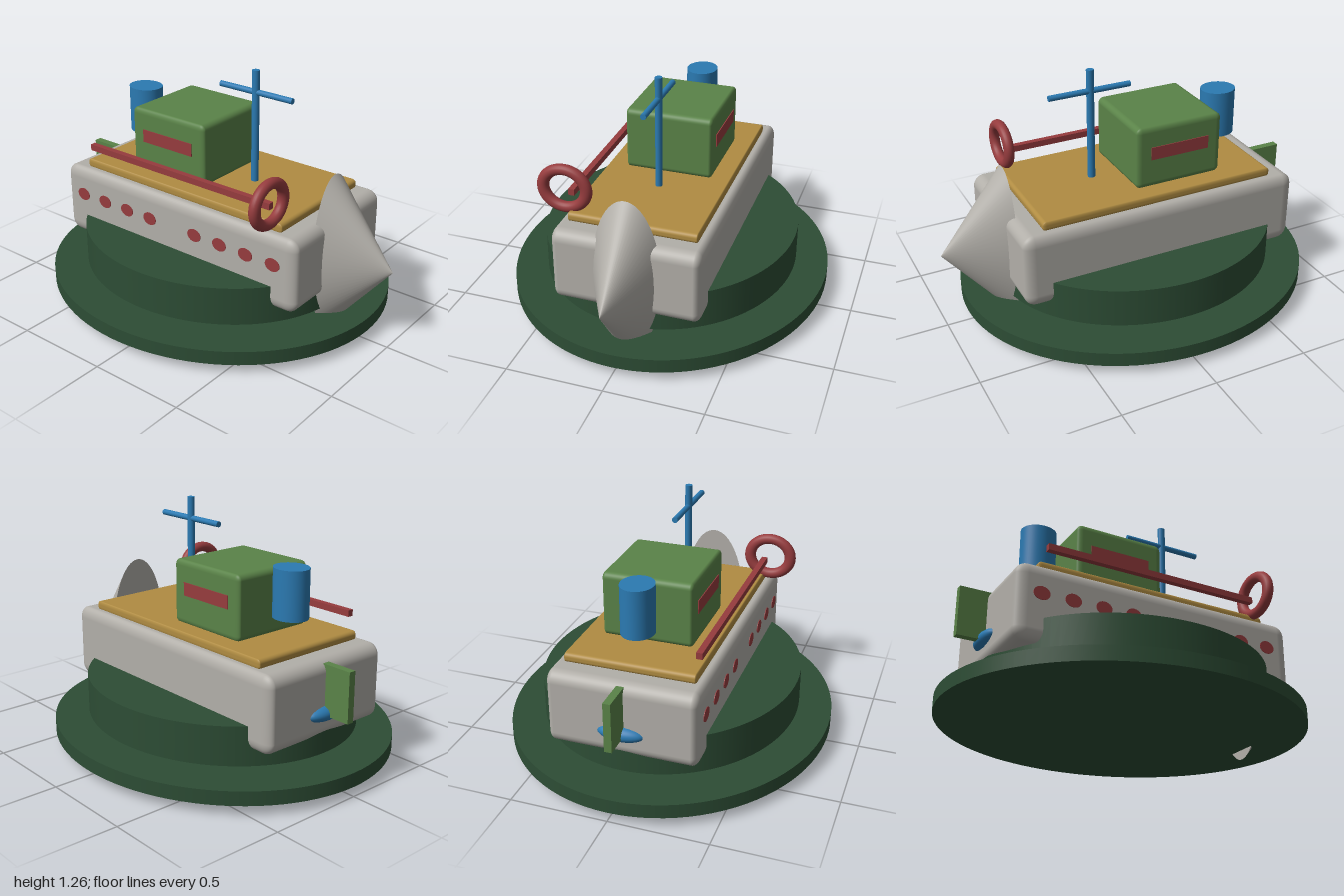
import * as THREE from 'three';
import { RoundedBoxGeometry } from 'three/addons/geometries/RoundedBoxGeometry.js';

function material(name, color) {
  const m = new THREE.MeshStandardMaterial({ color });
  m.name = name;
  return m;
}

export function createModel() {
  const boat = new THREE.Group();
  boat.name = 'boat';
  const grey = material('hull grey', 0xb2afa9);
  const darkGreen = material('dark green', 0x2d4d35);
  const green = material('cabin green', 0x5a8348);
  const ochre = material('deck ochre', 0xb08c42);
  const blue = material('blue', 0x2b7ab2);
  const red = material('red', 0x963c3e);

  function add(name, geometry, mat, x, y, z) {
    const mesh = new THREE.Mesh(geometry, mat);
    mesh.name = name;
    mesh.position.set(x, y, z);
    boat.add(mesh);
    return mesh;
  }
  // Rounded box whose edges are tighter across the width
  function softBox(w, h, d, r, squash) {
    return new RoundedBoxGeometry(w, h, d / squash, 4, r).scale(1, 1, squash);
  }
  // Upright elliptical cylinder
  function drum(rx, rz, h, sides) {
    return new THREE.CylinderGeometry(1, 1, h, sides).scale(rx, 1, rz);
  }

  // Base discs
  add('baseDisc', drum(0.943, 0.84, 0.073, 96), darkGreen, -0.058, 0.089, 0);
  add('upperDisc', drum(0.75, 0.668, 0.2, 96), darkGreen, -0.058, 0.259, 0);

  // Hull, deck and pointed bow
  add('hull', softBox(1.515, 0.388, 0.757, 0.06, 0.6), grey, -0.058, 0.436, 0);
  add('deck', softBox(1.275, 0.05, 0.66, 0.02, 0.4), ochre, -0.056, 0.648, 0);
  const bow = new THREE.ConeGeometry(1, 0.345, 64).rotateZ(-Math.PI / 2).scale(1, 0.418, 0.176);
  add('bow', bow, grey, 0.8275, 0.419, 0);

  // Portholes in two rows of four
  const porthole = new THREE.CylinderGeometry(1, 1, 0.008, 24).rotateX(Math.PI / 2).scale(0.042, 0.034, 1);
  for (const start of [-0.69, 0.088]) {
    for (let i = 0; i < 4; i++) add('porthole', porthole, red, start + i * 0.16, 0.48, 0.378);
  }

  // Cabin with a window on each side
  add('cabin', softBox(0.478, 0.332, 0.462, 0.03, 0.6), green, -0.206, 0.832, 0);
  for (const side of [1, -1]) {
    add('cabinWindow', new THREE.BoxGeometry(0.325, 0.068, 0.009), red, -0.208, 0.854, side * 0.231);
  }

  // Funnel
  add('funnel', drum(0.094, 0.083, 0.248, 48), blue, -0.56, 0.902, 0);

  // Mast and yard
  add('mast', drum(0.02, 0.018, 0.6, 24), blue, 0.177, 0.96, 0);
  const yard = new THREE.CylinderGeometry(0.015, 0.015, 0.44, 20).rotateZ(Math.PI / 2);
  add('yard', yard, blue, 0.179, 1.147, 0);

  // Rail and life ring
  add('rail', new THREE.BoxGeometry(1.17, 0.033, 0.031), red, -0.065, 0.753, 0.33);
  const ring = new THREE.TorusGeometry(0.1125, 0.0305, 20, 48).rotateY(Math.PI / 2).scale(0.9, 0.9, 1);
  add('lifeRing', ring, red, 0.529, 0.776, 0.359);

  // Rudder and propeller
  add('rudder', new THREE.BoxGeometry(0.165, 0.255, 0.038), green, -0.877, 0.486, 0);
  add('propeller', new THREE.SphereGeometry(1, 32, 20).scale(0.052, 0.041, 0.12), blue, -0.8, 0.368, 0);

  return boat;
}
